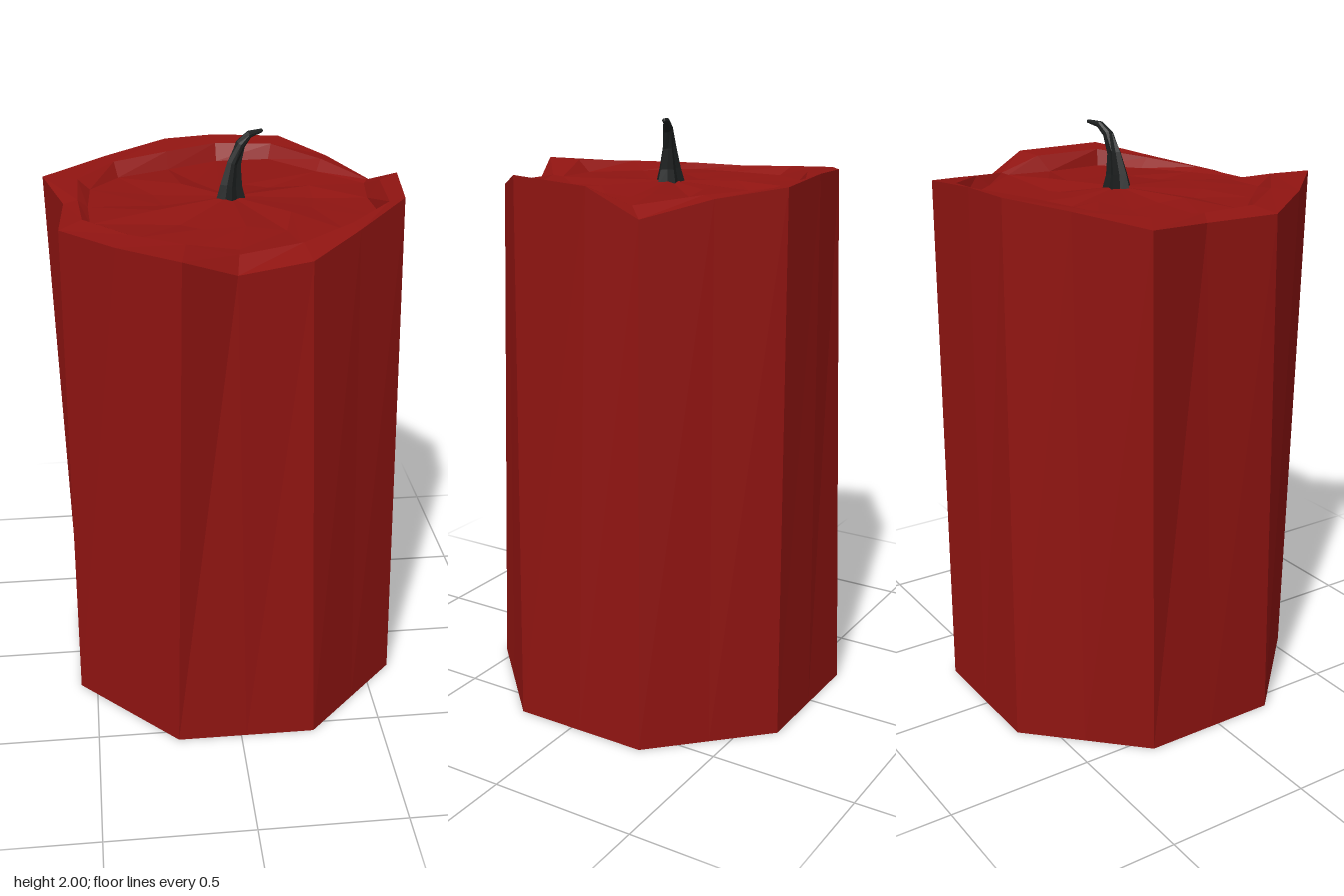
import * as THREE from 'three';

// Joins closed rings of points with quads; a ring may shrink to one point as a cap
function loft(rings, color, name) {
  const n = rings[0].length;
  const index = [];
  for (let r = 0; r < rings.length - 1; r++) {
    for (let j = 0; j < n; j++) {
      const k = (j + 1) % n;
      const a = r * n + j, b = r * n + k, c = a + n, d = b + n;
      index.push(a, b, d, a, d, c);
    }
  }
  const geometry = new THREE.BufferGeometry();
  geometry.setAttribute('position', new THREE.Float32BufferAttribute(rings.flat(2), 3));
  geometry.setIndex(index);
  geometry.computeVertexNormals();
  const material = new THREE.MeshStandardMaterial({ color, flatShading: true });
  const mesh = new THREE.Mesh(geometry, material);
  mesh.name = name;
  return mesh;
}

const cap = (n, x, y, z) => Array.from({ length: n }, () => [x, y, z]);

// Uneven upper edge of the wall, from front left round past +x
const edge = [
  [-0.19, 1.81, 0.615], [-0.02, 1.735, 0.545], [0.21, 1.76, 0.515], [0.38, 1.80, 0.365],
  [0.55, 1.845, 0.21], [0.59, 1.835, -0.09], [0.56, 1.745, -0.26], [0.41, 1.80, -0.43],
  [0.26, 1.83, -0.60], [0.02, 1.845, -0.59], [-0.16, 1.84, -0.57], [-0.37, 1.82, -0.45],
  [-0.60, 1.79, -0.315], [-0.53, 1.77, -0.07], [-0.545, 1.77, 0.19], [-0.375, 1.79, 0.42],
];

// Foot of the rim, x and z
const rimFoot = [
  [-0.16, 0.42], [0, 0.42], [0.19, 0.385], [0.35, 0.28], [0.49, 0.18], [0.48, -0.03],
  [0.50, -0.19], [0.36, -0.34], [0.21, -0.51], [0.02, -0.505], [-0.16, -0.42], [-0.34, -0.34],
  [-0.44, -0.215], [-0.45, -0.03], [-0.445, 0.14], [-0.30, 0.28],
];

// Ripples of the melted pool, x and z
const ripple = [
  [-0.10, 0.23], [0.04, 0.24], [0.17, 0.24], [0.20, 0.12], [0.28, 0.05], [0.30, -0.06],
  [0.30, -0.14], [0.17, -0.20], [0.08, -0.20], [0, -0.22], [-0.075, -0.285], [-0.13, -0.205],
  [-0.23, -0.145], [-0.20, -0.02], [-0.23, 0.06], [-0.16, 0.15],
];

function waxBody() {
  // Octagonal base with a point halfway along each side
  const cx = 0.018, cz = -0.033, R = 0.624;
  const base = edge.map((_, j) => {
    const angle = (j - 1) * Math.PI / 8;
    const r = j % 2 ? R * Math.cos(Math.PI / 8) : R;
    return [cx + r * Math.sin(angle), 0, cz + r * Math.cos(angle)];
  });
  // Rounded crest between the wall and the pool
  const crest = edge.map(([x, y, z], j) => {
    const [u, w] = rimFoot[j];
    const t = j % 2 ? 0.6 : 0.75;
    return [x + (u - x) * t, y * 0.5 + 0.905, z + (w - z) * t];
  });
  const foot = rimFoot.map(([x, z]) => [x, 1.77, z]);
  const pool = ripple.map(([x, z], j) => [x, 1.772 + 0.012 * Math.sin(j * 2.4), z]);
  return loft(
    [cap(16, cx, 0, cz), base, edge, crest, foot, pool, cap(16, 0.02, 1.79, -0.035)],
    0x8f1411, 'waxBody');
}

function wick() {
  // Centre x, y, z, radius and tilt of each section, bending towards +x
  const sections = [
    [0.02, 1.77, -0.035, 0.055, 0], [0.022, 1.83, -0.035, 0.038, 0.1],
    [0.032, 1.90, -0.04, 0.024, 0.25], [0.055, 1.96, -0.05, 0.017, 0.6],
    [0.085, 1.988, -0.062, 0.012, 1.1], [0.13, 1.995, -0.08, 0.006, 1.4],
  ];
  const n = 10;
  const rings = sections.map(([x, y, z, r, tilt], i) =>
    Array.from({ length: n }, (_, j) => {
      const a = j / n * Math.PI * 2;
      // Frayed, star-shaped at the foot
      const q = j % 2 && i < 3 ? r * 0.65 : r;
      const s = q * Math.sin(a);
      return [x + s * Math.cos(tilt), y - s * Math.sin(tilt), z + q * Math.cos(a)];
    }));
  return loft([cap(n, 0.02, 1.77, -0.035), ...rings, cap(n, 0.132, 1.995, -0.081)], 0x1c1f1f, 'wick');
}

export function createModel() {
  const candle = new THREE.Group();
  candle.name = 'candle';
  candle.add(waxBody(), wick());
  return candle;
}
